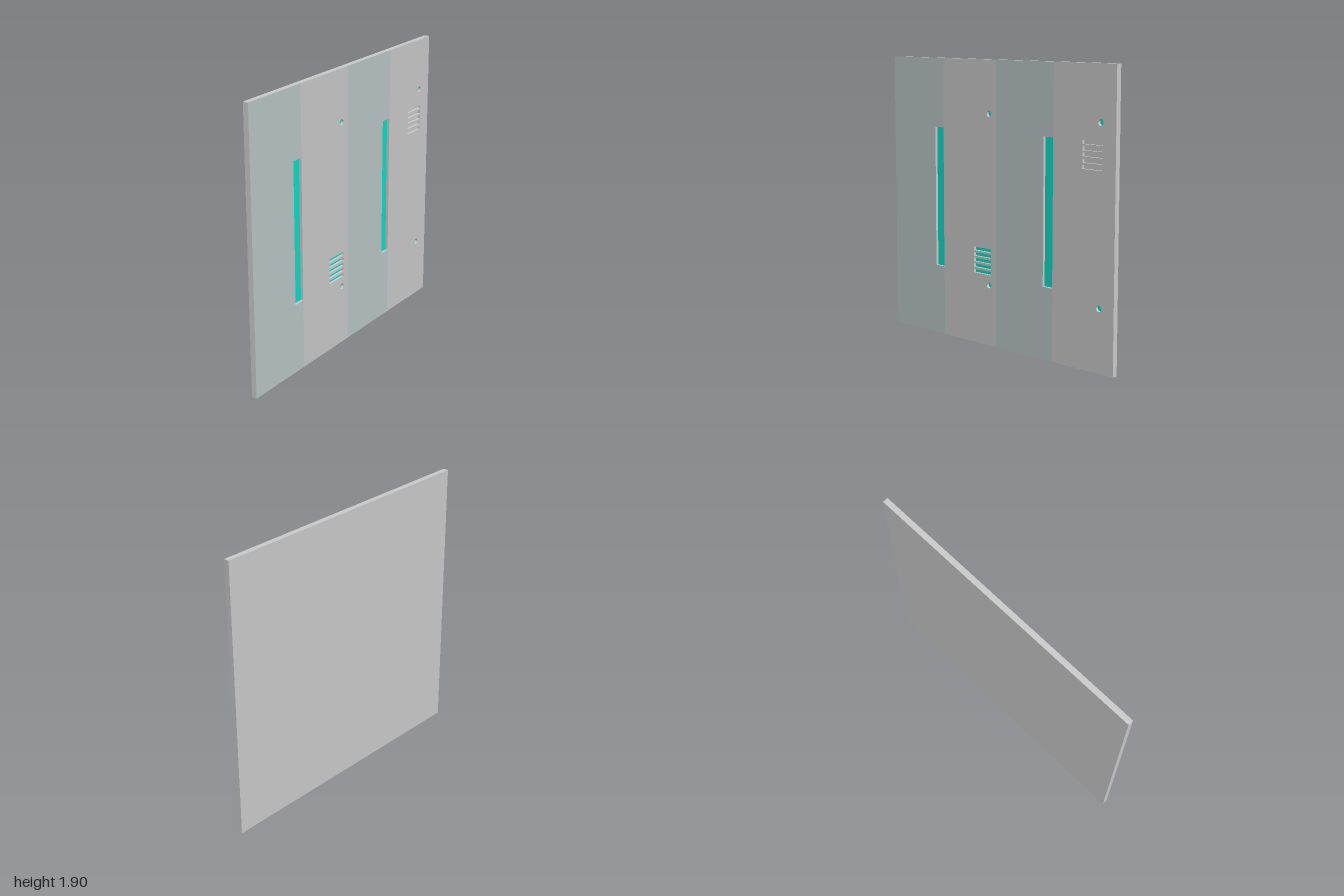
import * as THREE from 'three';

const H = 1.9, T = 0.037, DEPTH = 0.018;
const mat = (color) => new THREE.MeshStandardMaterial({ color, flatShading: true });
const grey = mat(0xcccccc), blue = mat(0xbcc7c9), cyan = mat(0x0fddc8);

// Outlines are drawn in the panel's own plane: u runs along its width, v is up.
const rect = (u0, v0, u1, v1) => [[u0, v0], [u1, v0], [u1, v1], [u0, v1]].map(([u, v]) => new THREE.Vector2(u, v));
const disc = (u, v, r, n = 12) => Array.from({ length: n }, (_, i) => {
  const a = (i / n) * Math.PI * 2;
  return new THREE.Vector2(u + r * Math.cos(a), v + r * Math.sin(a));
});

// Inward-facing side walls of a recess with a counter-clockwise outline
function wallGeometry(points, front, back) {
  const pos = [];
  points.forEach((p, i) => {
    const q = points[(i + 1) % points.length];
    const a = [p.x, p.y, front], b = [q.x, q.y, front], c = [q.x, q.y, back], d = [p.x, p.y, back];
    pos.push(...a, ...b, ...c, ...a, ...c, ...d);
  });
  const g = new THREE.BufferGeometry();
  g.setAttribute('position', new THREE.Float32BufferAttribute(pos, 3));
  g.computeVertexNormals();
  return g;
}

export function createModel() {
  const root = new THREE.Group();
  root.name = 'panel';
  const panel = new THREE.Group();
  panel.rotation.y = Math.PI / 2; // detailed face towards +x
  root.add(panel);
  const add = (name, geometry, material, z = 0) => {
    const m = new THREE.Mesh(geometry, material);
    m.name = name;
    m.position.z = z;
    panel.add(m);
    return m;
  };

  // Slab: a box whose detailed face (group 4, +z) is left out for the bands
  const slab = new THREE.BoxGeometry(2, H, T);
  const index = Array.from(slab.index.array);
  index.splice(slab.groups[4].start, slab.groups[4].count);
  slab.setIndex(index);
  slab.clearGroups();
  slab.translate(0, H / 2, 0);
  add('slab', slab, grey);

  // Recesses: two tall handle slots, four screw holes, two sets of vents
  const recesses = [];
  for (const u of [-0.583, 0.417]) {
    recesses.push({ name: 'handleSlot', points: rect(u, 0.476, u + 0.081, 1.433), floor: cyan });
  }
  for (const u of [-0.067, 0.881]) {
    for (const v of [0.409, 1.548]) recesses.push({ name: 'screwHole', points: disc(u, v, 0.02), floor: cyan });
  }
  for (const [u, v, floor] of [[-0.208, 0.478, cyan], [0.738, 1.257, grey]]) {
    for (let i = 0; i < 5; i++) {
      const y = v + i * 0.038;
      recesses.push({ name: 'ventSlit', points: rect(u, y, u + 0.16, y + 0.024), floor });
    }
  }
  for (const { name, points, floor } of recesses) {
    add(name + 'Wall', wallGeometry(points, T / 2, T / 2 - DEPTH), grey);
    add(name + 'Floor', new THREE.ShapeGeometry(new THREE.Shape(points)), floor, T / 2 - DEPTH);
  }

  // Four vertical face bands, alternately tinted, pierced by their recesses
  for (let i = 0; i < 4; i++) {
    const u0 = -1 + i * 0.5, u1 = u0 + 0.5;
    const shape = new THREE.Shape(rect(u0, 0, u1, H));
    for (const { points } of recesses) {
      if (points[0].x > u0 && points[0].x < u1) shape.holes.push(new THREE.Path(points));
    }
    add('faceBand', new THREE.ShapeGeometry(shape), i % 2 ? grey : blue, T / 2);
  }
  return root;
}
